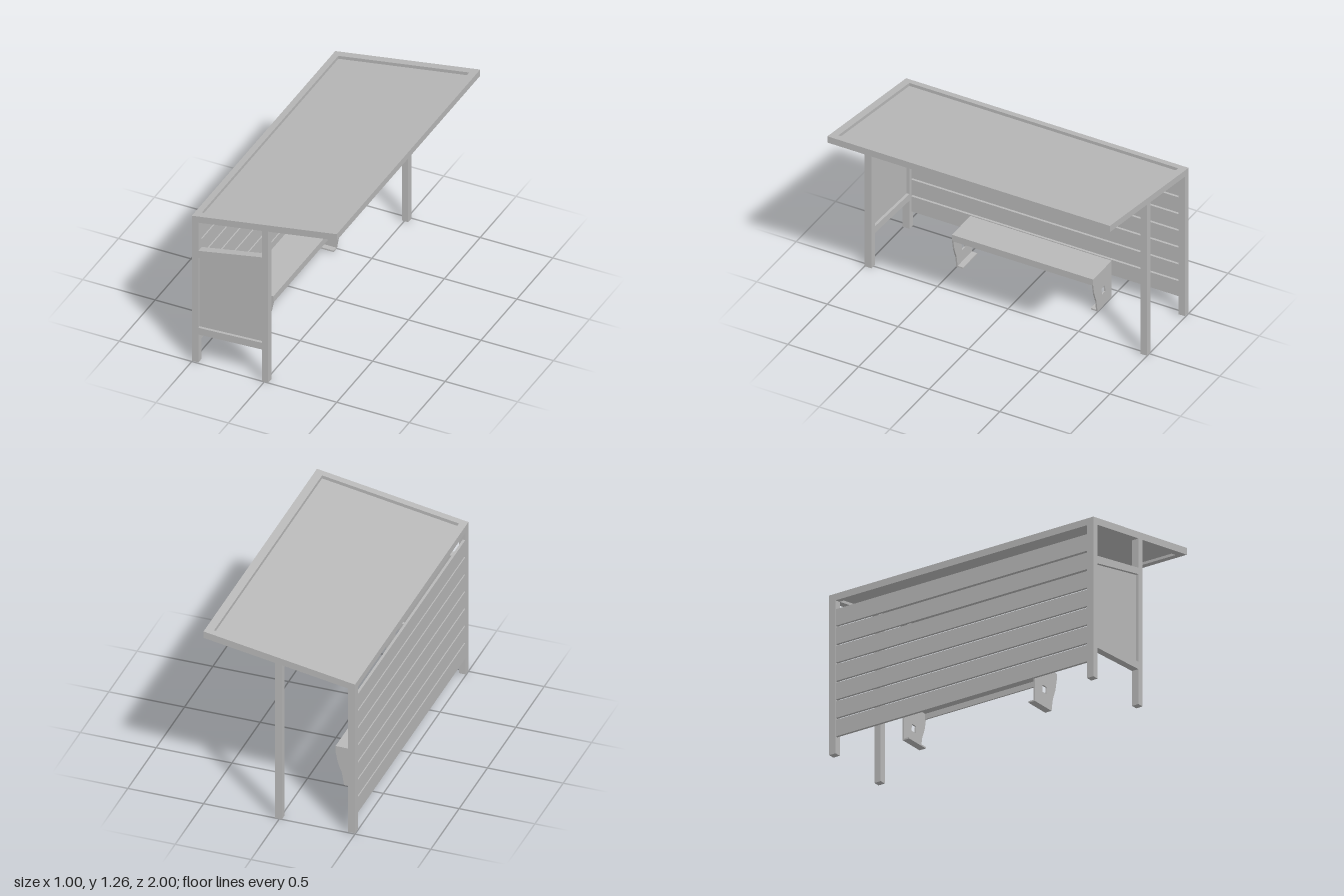
import * as THREE from 'three';

const steel = new THREE.MeshStandardMaterial({ color: 0xb8b8b8 });
steel.name = 'grey steel';

// Extrudes an outline in the xy plane from z0 to z1, with optional holes
function slab(name, points, z0, z1, holes = []) {
  const toV = (list) => list.map(([x, y]) => new THREE.Vector2(x, y));
  const shape = new THREE.Shape(toV(points));
  holes.forEach((h) => shape.holes.push(new THREE.Path(toV(h))));
  const geo = new THREE.ExtrudeGeometry(shape, { depth: z1 - z0, bevelEnabled: false });
  geo.translate(0, 0, z0);
  const mesh = new THREE.Mesh(geo, steel);
  mesh.name = name;
  return mesh;
}

// Four-sided outline between x0 and x1 with sloping bottom and top
const quad = (x0, x1, bottom, top) => [
  [x0, bottom(x0)], [x1, bottom(x1)], [x1, top(x1)], [x0, top(x0)],
];
const line = (x0, y0, x1, y1) => (x) => y0 + ((y1 - y0) * (x - x0)) / (x1 - x0);
const flat = (y) => () => y;

const END = 1, IN = 0.952;          // outer and inner faces of the end frames
const BACK = -0.5, BACK_IN = -0.455; // rear post
const POST = -0.017, POST_OUT = 0.027; // middle post

const roofTop = line(-0.5, 1.095, 0.5, 1.262);
const roofBottom = line(-0.5, 1.049, 0.5, 1.215);

function createRoof() {
  const roof = new THREE.Group();
  roof.name = 'roof';
  for (const [a, b] of [[IN, END], [-END, -IN]]) {
    roof.add(slab('roofSideBeam', quad(-0.5, 0.5, roofBottom, roofTop), a, b));
  }
  roof.add(slab('roofRearBeam', quad(BACK, BACK_IN, roofBottom, roofTop), -IN, IN));
  roof.add(slab('roofFrontBeam', quad(0.448, 0.5, roofBottom, roofTop), -IN, IN));
  // recessed sheet inside the frame
  roof.add(slab('roofSheet', quad(BACK_IN, 0.448,
    (x) => roofBottom(x) + 0.018, (x) => roofTop(x) - 0.022), -IN, IN));
  return roof;
}

function createPosts() {
  const posts = new THREE.Group();
  posts.name = 'posts';
  for (const [a, b] of [[IN, END], [-END, -IN]]) {
    posts.add(slab('rearPost', quad(BACK, BACK_IN, flat(0.006), roofBottom), a, b));
    posts.add(slab('middlePost', quad(POST, POST_OUT, flat(0), roofBottom), a, b));
  }
  return posts;
}

function createSidePanel() {
  const side = new THREE.Group();
  side.name = 'sideWall';
  const upperTop = line(BACK_IN, 0.845, POST, 0.93);
  const upperBottom = line(BACK_IN, 0.793, POST, 0.886);
  const lowerTop = line(BACK_IN, 0.267, POST, 0.288);
  const lowerBottom = line(BACK_IN, 0.217, POST, 0.238);
  side.add(slab('upperRail', quad(BACK_IN, POST, upperBottom, upperTop), IN, END));
  side.add(slab('lowerRail', quad(BACK_IN, POST, lowerBottom, lowerTop), IN, END));
  side.add(slab('sidePanel', quad(BACK_IN, POST, lowerTop, upperBottom), 0.971, 0.981));
  return side;
}

function createBackWall() {
  const wall = new THREE.Group();
  wall.name = 'backWall';
  for (let i = 0; i < 7; i++) {
    const y = 0.122 + i * 0.1258;
    wall.add(slab('backSlat', quad(-0.497, -0.48, flat(y), flat(y + 0.113)), -IN, IN));
  }
  return wall;
}

function createBench() {
  const bench = new THREE.Group();
  bench.name = 'bench';
  const x0 = -0.42, x1 = -0.184, top = 0.277, half = 0.5, t = 0.01;
  // folded seat sheet with a front lip
  bench.add(slab('seat', quad(x0, x1, flat(top - t), flat(top)), -half, half));
  bench.add(slab('seatLip', quad(x1 - t, x1, flat(0.23), flat(top - t)), -half + t, half - t));
  const profile = [
    [x0, 0.003], [-0.24, 0.003], [-0.236, 0.03], [-0.226, 0.09], [-0.21, 0.13],
    [-0.199, 0.16], [-0.19, 0.205], [x1, 0.235], [x1, top - t], [x0, top - t],
  ];
  const hole = [[-0.339, 0.097], [-0.295, 0.097], [-0.291, 0.145], [-0.336, 0.145]];
  for (const s of [1, -1]) {
    const span = (a, b) => (s > 0 ? [a, b] : [-b, -a]);
    bench.add(slab('benchLeg', profile, ...span(half - t, half), [hole]));
    // foot flange folded inward
    bench.add(slab('benchFoot', quad(x0, -0.24, flat(0.003), flat(0.013)),
      ...span(0.452, half - t)));
  }
  return bench;
}

export function createModel() {
  const model = new THREE.Group();
  model.name = 'shelter';
  model.add(createRoof(), createPosts(), createSidePanel(), createBackWall(), createBench());
  return model;
}
